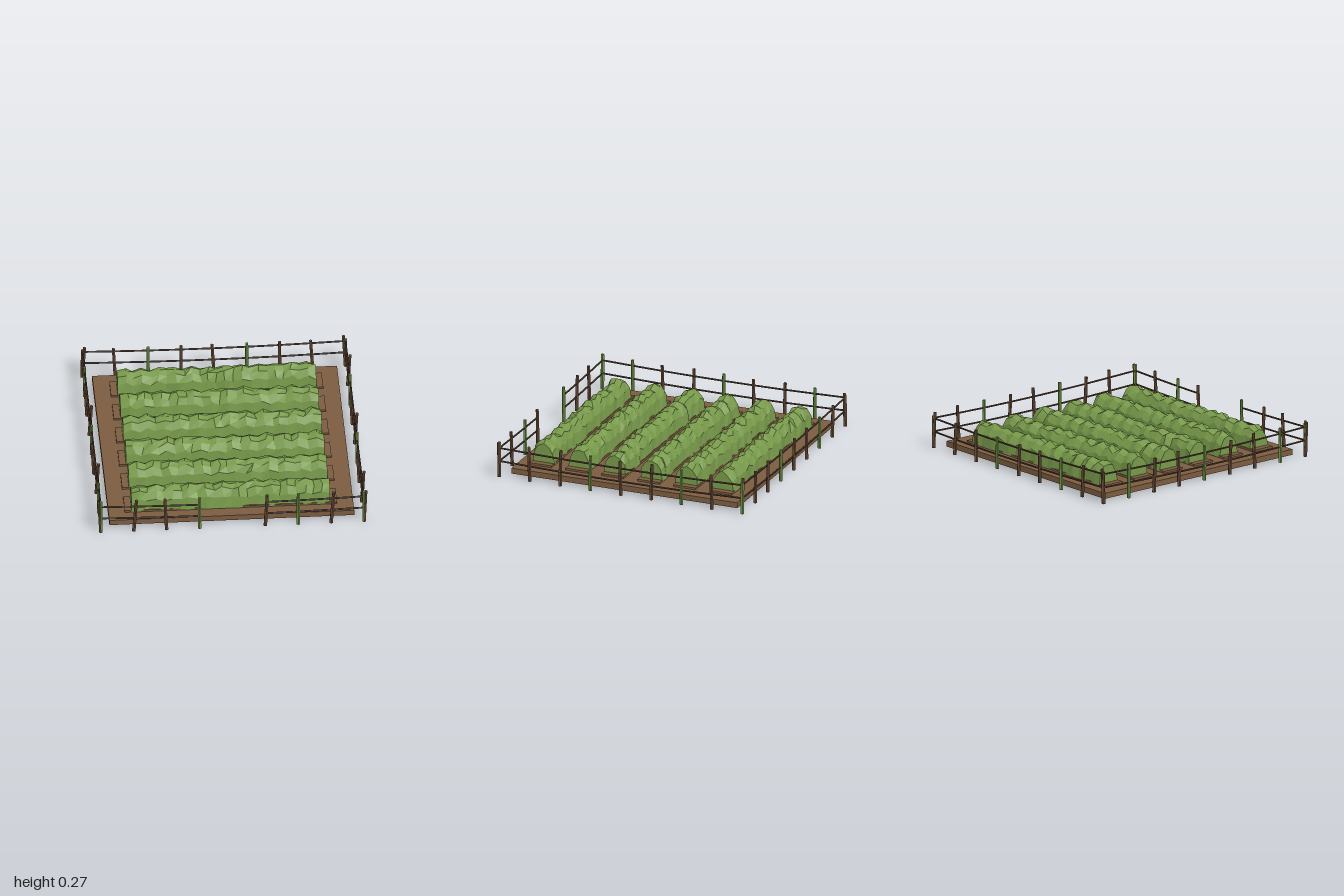
import * as THREE from 'three';

function material(name, color) {
  const m = new THREE.MeshStandardMaterial({ color });
  m.name = name;
  return m;
}
const soil = material('soil brown', 0x7b5c40);
const leaf = material('leaf green', 0x77994a);
const wood = material('post brown', 0x6a4d38);
const greenWood = material('post green', 0x6f9445);
const railWood = material('rail dark brown', 0x513b2e);

// Seeded jitter in -1..1
let seed = 7;
function jitter() {
  seed = (seed * 16807) % 2147483647;
  return (seed / 2147483647) * 2 - 1;
}

function faceted(geometry) {
  const g = geometry.toNonIndexed();
  g.computeVertexNormals();
  return g;
}

function add(parent, name, geometry, mat) {
  const mesh = new THREE.Mesh(geometry, mat);
  mesh.name = name;
  parent.add(mesh);
  return mesh;
}

// Leafy hedge: a jagged arch swept along x, with closed ends
function hedgeGeometry() {
  const half = [[0.088, 0.06], [0.077, 0.15], [0.043, 0.2]];
  const arch = [...half, [0, 0.218], ...half.map(([z, y]) => [-z, y]).reverse()];
  const steps = 24, n = arch.length, pos = [], idx = [];
  for (let i = 0; i <= steps; i++) {
    const shift = jitter() * 0.007;
    const bump = i % 2 ? 0.011 : -0.009;
    arch.forEach(([z, y], j) => {
      const inner = i > 0 && i < steps;
      const base = j === 0 || j === n - 1;
      pos.push(
        -0.73 + (1.46 * i) / steps + (inner && !base ? jitter() * 0.012 : 0),
        base ? y : y + bump + jitter() * 0.009,
        z + shift + jitter() * 0.006
      );
    });
  }
  for (let i = 0; i < steps; i++) {
    for (let j = 0; j < n - 1; j++) {
      const a = i * n + j, b = a + n;
      idx.push(a, b, b + 1, a, b + 1, a + 1);
    }
  }
  const last = steps * n;
  for (let j = 1; j < n - 1; j++) {
    idx.push(0, j, j + 1, last, last + j + 1, last + j);
  }
  const g = new THREE.BufferGeometry();
  g.setAttribute('position', new THREE.Float32BufferAttribute(pos, 3));
  g.setIndex(idx);
  return faceted(g);
}

// Post leaning sideways between its foot and its top
function addPost(parent, [x, z], green, lean, height) {
  const foot = new THREE.Vector3(x, 0.003, z);
  const top = new THREE.Vector3(x + lean, height, z);
  const dir = top.clone().sub(foot);
  const g = faceted(new THREE.CylinderGeometry(0.012, 0.014, dir.length(), 6));
  const mesh = add(parent, green ? 'greenPost' : 'brownPost', g, green ? greenWood : wood);
  mesh.position.copy(foot).add(top).multiplyScalar(0.5);
  mesh.quaternion.setFromUnitVectors(new THREE.Vector3(0, 1, 0), dir.normalize());
}

// Two rails that sag towards the middle of the side
function addRails(parent, from, to, place) {
  for (const y of [0.11, 0.212]) {
    const points = [];
    for (let i = 0; i <= 4; i++) {
      const t = from + ((to - from) * i) / 4;
      const [x, z] = place(t);
      points.push(new THREE.Vector3(x, y + 0.017 * t * t, z));
    }
    const curve = new THREE.CatmullRomCurve3(points);
    add(parent, 'rail', faceted(new THREE.TubeGeometry(curve, 8, 0.007, 5)), railWood);
  }
}

// One fence side: nine post places, every third post green, with an optional gate gap
function buildFence({ name, place, greenAt, lean, height, gate }) {
  const fence = new THREE.Group();
  fence.name = name;
  const end = 0.967, gap = end / 4;
  if (gate) {
    addRails(fence, -end, -gap, place);
    addRails(fence, gap, end, place);
  } else {
    addRails(fence, -end, end, place);
  }
  for (let i = 0; i < 9; i++) {
    if (gate && i === 4) continue;
    const t = (i - 4) * gap;
    const step = (i - greenAt + 3) % 3;
    addPost(fence, place(t), step === 0, step === 0 ? 0 : lean(step, t), height);
  }
  return fence;
}

export function createModel() {
  const model = new THREE.Group();
  model.name = 'fencedField';

  // Ground slab
  add(model, 'soilSlab', new THREE.BoxGeometry(1.8, 0.042, 1.8), soil).position.y = 0.034;

  // Six planted rows
  for (let i = 0; i < 6; i++) {
    const row = new THREE.Group();
    row.name = 'plantedRow';
    row.position.z = -0.715 + i * 0.287;
    model.add(row);
    add(row, 'raisedBed', new THREE.BoxGeometry(1.56, 0.02, 0.176), soil).position.y = 0.06;
    add(row, 'hedge', hedgeGeometry(), leaf);
  }

  // Fence around the field, with a gateway in the front
  const sideLean = step => (step === 1 ? -0.015 : 0.016);
  const backLean = step => (step === 1 ? 0 : -0.014);
  const frontLean = (step, t) => (step === 1 ? 0.02 : 0.014 * Math.sign(t));
  const sides = [
    { name: 'backFence', place: t => [t, -0.967], greenAt: 2, lean: backLean, height: 0.245 },
    { name: 'frontFence', place: t => [t, 0.967], greenAt: 0, lean: frontLean, height: 0.275, gate: true },
    { name: 'leftFence', place: t => [0.967, t], greenAt: 2, lean: sideLean, height: 0.275 },
    { name: 'rightFence', place: t => [-0.967, t], greenAt: 1, lean: sideLean, height: 0.265 }
  ];
  for (const side of sides) model.add(buildFence(side));
  return model;
}
